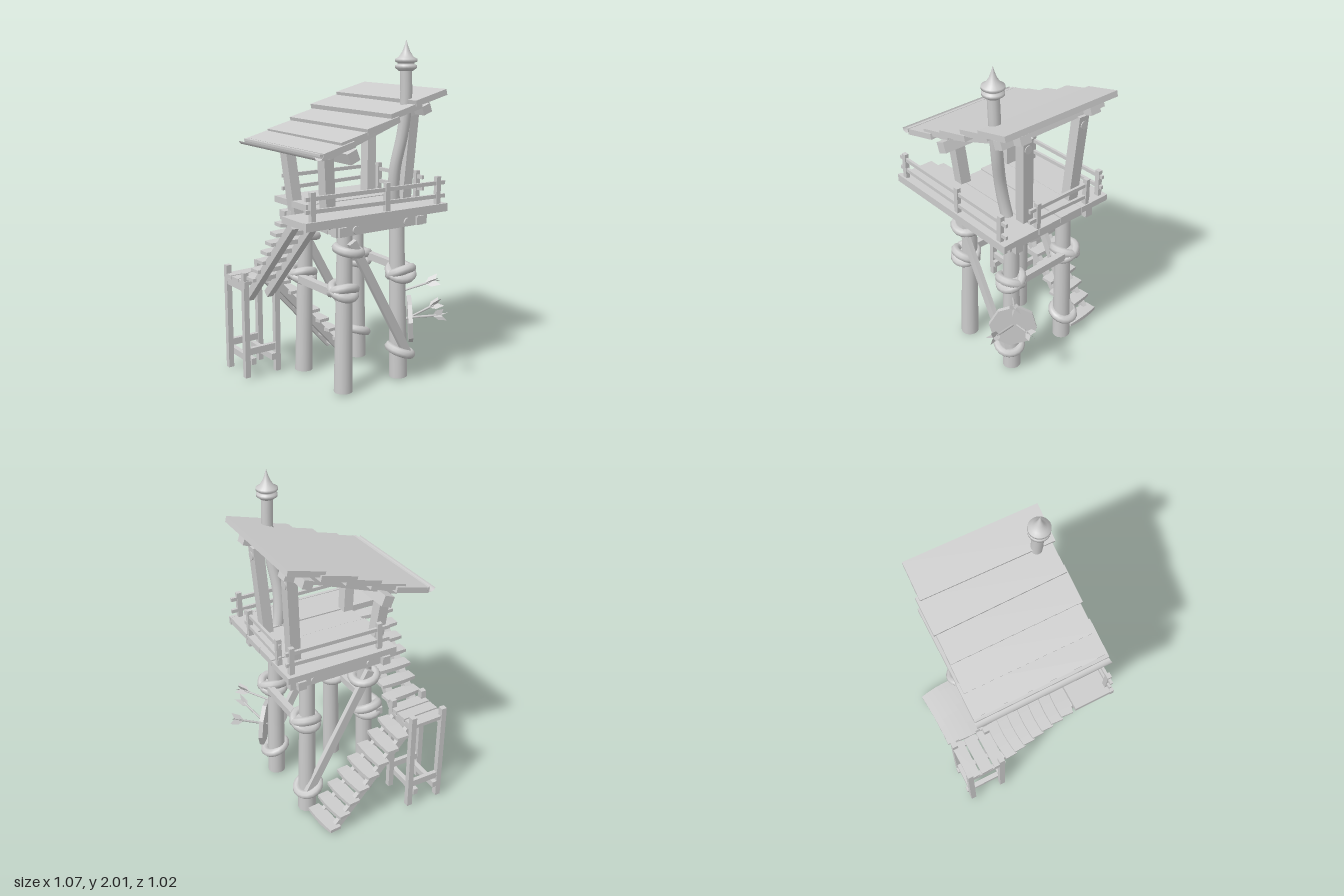
import * as THREE from 'three';

const grey = new THREE.MeshStandardMaterial({ color: 0xcccccc });
const flat = new THREE.MeshStandardMaterial({ color: 0xcccccc, flatShading: true });
const thin = new THREE.MeshStandardMaterial({ color: 0xcccccc, side: THREE.DoubleSide });
const V = (x, y, z) => new THREE.Vector3(x, y, z);
const wobble = (i) => Math.sin(i * 12.9 + 1.3);

export function createModel() {
  const root = new THREE.Group();

  function add(name, geometry, material, pos = [0, 0, 0], rot = [0, 0, 0]) {
    const mesh = new THREE.Mesh(geometry, material);
    mesh.name = name;
    mesh.position.set(...pos);
    mesh.rotation.set(...rot);
    root.add(mesh);
    return mesh;
  }
  const box = (name, size, pos, rot) => add(name, new THREE.BoxGeometry(...size), flat, pos, rot);

  // Square timber between two points; w is the width across, h the size along the up vector
  function beam(name, a, b, w, h, up = [0, 1, 0]) {
    const p = V(...a), q = V(...b);
    const mesh = box(name, [w, h, p.distanceTo(q)], p.clone().lerp(q, 0.5).toArray());
    mesh.up.set(...up);
    mesh.lookAt(q);
    return mesh;
  }

  // Round log along a path, with a radius at each end
  function log(name, a, b, rA, rB, sides = 16) {
    const p = V(...a), q = V(...b);
    const mesh = add(name, new THREE.CylinderGeometry(rB, rA, p.distanceTo(q), sides), grey, p.clone().lerp(q, 0.5).toArray());
    mesh.quaternion.setFromUnitVectors(V(0, 1, 0), q.sub(p).normalize());
    return mesh;
  }

  // Legs
  for (const [xa, xb] of [[-0.15, -0.13], [0.258, 0.24]])
    for (const [za, zb] of [[0.238, 0.225], [-0.183, -0.178]])
      log('leg', [xa, 0, za], [xb, 1.02, zb], 0.055, 0.043);

  // Mast growing out of the front leg, with its finial
  const mastPath = new THREE.CatmullRomCurve3([
    V(0.24, 0.98, 0.225), V(0.205, 1.13, 0.24), V(0.195, 1.28, 0.262),
    V(0.215, 1.48, 0.3), V(0.222, 1.65, 0.318), V(0.215, 1.85, 0.322)]);
  add('mast', new THREE.TubeGeometry(mastPath, 20, 0.034, 12), grey);
  const finial = [[0, 1.825], [0.04, 1.83], [0.06, 1.845], [0.06, 1.86], [0.046, 1.866], [0.046, 1.874],
    [0.062, 1.88], [0.062, 1.895], [0.042, 1.905], [0.022, 1.935], [0.01, 1.965], [0, 2]];
  add('finial', new THREE.LatheGeometry(finial.map((p) => new THREE.Vector2(...p)), 20), grey, [0.215, 0, 0.322]);

  // Frame under the deck, with bolts
  for (const z of [0.295, -0.24]) {
    beam('deckBeam', [-0.255, 0.972, z], [0.39, 0.972, z], 0.05, 0.056);
    for (const x of [-0.12, 0.24])
      add('bolt', new THREE.CylinderGeometry(0.024, 0.024, 0.07, 12), grey, [x, 0.972, z], [Math.PI / 2, 0, 0]);
  }
  for (const x of [0.33, -0.215]) {
    beam('deckCrossBeam', [x, 0.972, -0.295], [x, 0.972, 0.335], 0.05, 0.052);
    for (const z of [0.23, -0.17])
      add('bolt', new THREE.CylinderGeometry(0.024, 0.024, 0.07, 12), grey, [x, 0.998 - 0.004, z], [0, 0, Math.PI / 2]);
  }

  // Deck planks; the front one reaches out over the stair head
  const planks = [[0.2, 0.43, -0.525], [0.035, 0.193, -0.25], [-0.125, 0.03, -0.26], [-0.335, -0.13, -0.25]];
  planks.forEach(([z0, z1, x0], i) =>
    box('deckPlank', [0.435 - x0, 0.038, z1 - z0], [(0.435 + x0) / 2, 1.06 - 0.003 * (i % 2), (z0 + z1) / 2]));
  box('deckFascia', [0.965, 0.047, 0.022], [-0.045, 1.058, 0.434], [0, 0, -0.004]);

  // Railings: posts plus two rails on each side
  function railing(a, b, spots) {
    for (const t of spots) {
      const p = V(...a).lerp(V(...b), t);
      box('railPost', [0.03, 0.175, 0.026], [p.x, 1.15, p.z], [0, 0, 0.02 * wobble(t * 9)]);
    }
    [1.128, 1.195].forEach((y, i) =>
      beam('rail', [a[0], y + 0.008, a[2]], [b[0], y - 0.006 + 0.01 * i, b[2]], 0.016, 0.022));
  }
  railing([-0.515, 0, 0.42], [0.43, 0, 0.42], [0.045, 0.56, 0.945]);
  railing([0.415, 0, 0.25], [0.415, 0, -0.2], [0.13, 0.95]);
  railing([0.43, 0, -0.295], [-0.22, 0, -0.295], [0.05, 0.9]);

  // Leaning roof posts
  for (const [zb, zt] of [[0.185, 0.222], [-0.145, -0.182]]) {
    beam('roofPost', [0.305, 0.95, zb], [0.342, 1.61, zt], 0.062, 0.07, [0, 0, 1]);
    beam('roofPost', [-0.212, 0.95, zb], [-0.258, 1.43, zt], 0.062, 0.07, [0, 0, 1]);
    add('bolt', new THREE.CylinderGeometry(0.025, 0.025, 0.075, 12), grey, [0.338, 1.555, zt], [0, 0, Math.PI / 2]);
  }

  // Rafters and purlins
  for (const z of [0.27, -0.23]) beam('rafter', [-0.29, 1.395, z], [0.405, 1.645, z], 0.07, 0.048);
  box('purlin', [0.065, 0.065, 0.72], [-0.175, 1.388, 0.015], [0, 0, 0.38]);
  box('purlin', [0.06, 0.05, 0.74], [0.32, 1.617, 0.015], [0, 0, 0.35]);

  // Overlapping roof planks: x, y, back z, front z, yaw
  const roof = [[-0.312, 1.437, -0.375, 0.425, 0.01], [-0.168, 1.488, -0.36, 0.412, -0.01],
    [-0.01, 1.549, -0.36, 0.422, 0], [0.152, 1.618, -0.375, 0.41, 0.01], [0.325, 1.684, -0.36, 0.425, -0.015]];
  for (const [x, y, z0, z1, yaw] of roof)
    box('roofPlank', [0.222, 0.034, z1 - z0], [x, y, (z0 + z1) / 2], [0, yaw, 0.25]);

  // Gutter: open half pipe along the low eave
  add('gutter', new THREE.CylinderGeometry(0.028, 0.028, 0.805, 10, 1, true, -Math.PI / 2, Math.PI), thin,
    [-0.435, 1.425, 0.027], [Math.PI / 2, 0.25, 0.0]);
  beam('eaveStrip', [-0.41, 1.423, -0.372], [-0.41, 1.423, 0.425], 0.035, 0.012);

  // Braces between the legs
  for (const z of [0.3, -0.24]) beam('diagonalBrace', [-0.135, 0.9, z], [0.28, 0.15, z], 0.03, 0.05);
  beam('sideBrace', [0.305, 0.66, 0.28], [0.305, 0.67, -0.235], 0.04, 0.045);
  beam('sideBrace', [-0.2, 0.6, 0.3], [-0.2, 0.6, -0.26], 0.045, 0.045);

  // Rope lashings: one tilted ring on diagonals, two crossed rings on side braces
  function rope(x, y, z, tiltX, tiltZ) {
    add('ropeLashing', new THREE.TorusGeometry(0.07, 0.027, 8, 18), grey, [x, y, z], [Math.PI / 2 + tiltX, tiltZ, 0]);
  }
  for (const [z, s] of [[0.245, 1], [-0.185, -1]]) {
    rope(-0.125, 0.845, z + 0.01 * s, 0.12 * s, -0.18);
    rope(0.255, 0.17, z + 0.01 * s, 0.12 * s, -0.35);
    for (const t of [0.45, -0.45]) {
      rope(0.26, 0.655, z, t, 0.1);
      rope(-0.155, 0.61, z, t, -0.1);
    }
  }

  // Landing on four posts
  for (const x of [-0.505, -0.295]) {
    for (const z of [-0.475, -0.262]) box('landingPost', [0.034, 0.655, 0.034], [x, 0.3275, z]);
    beam('landingRail', [x + 0.035 * Math.sign(-0.4 - x), 0.1, -0.5], [x + 0.035 * Math.sign(-0.4 - x), 0.1, -0.235], 0.03, 0.04);
    beam('landingBearer', [x, 0.56, -0.49], [x, 0.56, -0.24], 0.03, 0.04);
  }
  for (const z of [-0.475, -0.262]) box('landingTie', [0.24, 0.042, 0.026], [-0.4, 0.16, z]);
  [-0.45, -0.365, -0.28].forEach((z, i) =>
    box('landingPlank', [0.24, 0.024, 0.075], [-0.4, 0.592, z], [0, 0.03 * wobble(i), 0.01]));

  // Worn stair tread: a box whose edge bows outwards and whose ends droop
  function tread(length, depth, pos, yaw) {
    const g = new THREE.BoxGeometry(length, 0.026, depth, 6, 1, 1);
    const p = g.attributes.position;
    for (let i = 0; i < p.count; i++) {
      const t = (2 * p.getX(i)) / length;
      p.setZ(i, p.getZ(i) * (1.05 - 0.2 * t * t));
      p.setY(i, p.getY(i) * (1 - 0.25 * t * t));
    }
    g.computeVertexNormals();
    add('stairTread', g, flat, pos, [0, yaw, 0.02 * wobble(pos[1] * 7)]);
  }

  // Lower stair, climbing from right to left behind the legs
  for (const z of [-0.3, -0.445]) beam('lowerStringer', [0.215, 0.005, z], [-0.285, 0.56, z], 0.03, 0.045);
  for (let i = 0; i < 8; i++)
    tread(0.24, 0.085, [0.235 - 0.065 * i, 0.03 + 0.074 * i, -0.375 + 0.01 * wobble(i)], Math.PI / 2 + 0.09 * wobble(i));

  // Upper stair, climbing from the landing forward to the deck
  for (const x of [-0.465, -0.33]) beam('upperStringer', [x, 0.49, -0.285], [x, 1.025, 0.23], 0.045, 0.045);
  for (let i = 0; i < 7; i++)
    tread(0.24, 0.085, [-0.4 + 0.01 * wobble(i), 0.632 + 0.065 * i, -0.2 + 0.06 * i], 0.08 * wobble(i + 3));

  // Octagonal target fixed to the front right leg
  const target = add('target', new THREE.CylinderGeometry(0.142, 0.142, 0.026, 8), flat, [0.312, 0.36, 0.275]);
  target.quaternion.setFromUnitVectors(V(0, 1, 0), V(0.8, 0.05, 0.6).normalize());

  // Arrows: shaft with two crossed, notched fletchings
  const fin = new THREE.Shape([[0, -0.035], [0.03, 0], [0.035, 0.055], [0, 0.03], [-0.035, 0.055], [-0.03, 0]]
    .map((p) => new THREE.Vector2(...p)));
  function arrow(tip, tail) {
    const shaft = log('arrowShaft', tip, tail, 0.007, 0.007, 6);
    const half = V(...tip).distanceTo(V(...tail)) / 2;
    for (const turn of [0.4, 0.4 + Math.PI / 2]) {
      const feather = new THREE.Mesh(new THREE.ShapeGeometry(fin), thin);
      feather.name = 'arrowFletching';
      feather.position.y = half;
      feather.rotation.y = turn;
      shaft.add(feather);
    }
  }
  arrow([0.3, 0.355, 0.255], [0.475, 0.42, 0.3]);
  arrow([0.31, 0.36, 0.25], [0.37, 0.42, 0.455]);
  arrow([0.27, 0.53, 0.24], [0.405, 0.59, 0.345]);

  return root;
}
